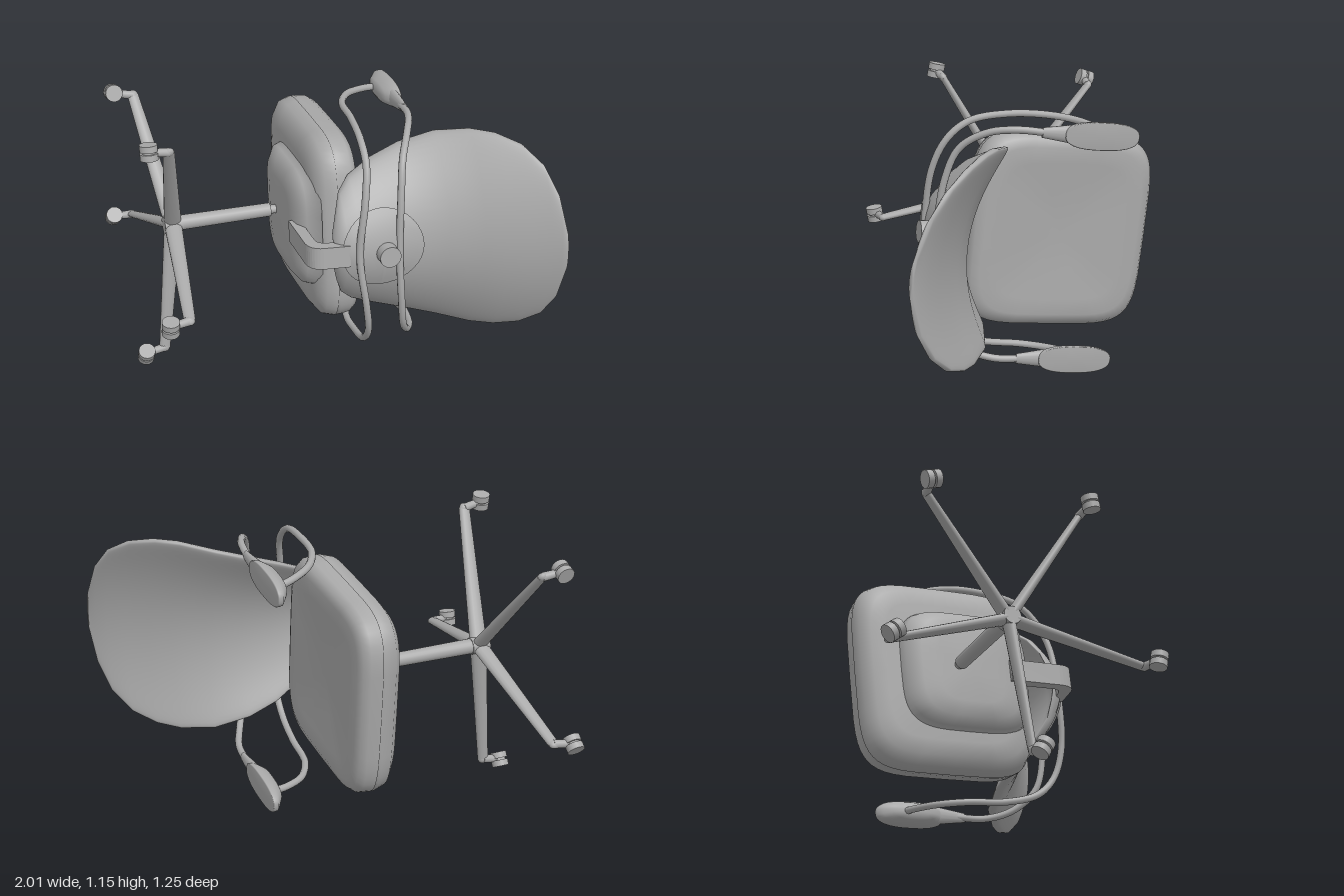
import * as THREE from 'three';

const grey = new THREE.MeshStandardMaterial({ color: 0xaaaaaa });
grey.name = 'grey';
grey.side = THREE.DoubleSide;

const V = (x, y, z) => new THREE.Vector3(x, y, z);

function add(parent, name, geometry, x = 0, y = 0, z = 0) {
  const mesh = new THREE.Mesh(geometry, grey);
  mesh.name = name;
  mesh.position.set(x, y, z);
  parent.add(mesh);
  return mesh;
}

// Skin over stacked loops, from bottom to top, with closed ends
function loft(loops) {
  const n = loops[0].length, pos = [], idx = [];
  loops.forEach(l => l.forEach(p => pos.push(p.x, p.y, p.z)));
  for (let i = 0; i < loops.length - 1; i++) {
    for (let j = 0; j < n; j++) {
      const a = i * n + j, b = i * n + (j + 1) % n;
      idx.push(a, a + n, b, b, a + n, b + n);
    }
  }
  [0, loops.length - 1].forEach((row, end) => {
    const c = V(0, 0, 0);
    loops[row].forEach(p => c.addScaledVector(p, 1 / n));
    const k = pos.length / 3;
    pos.push(c.x, c.y, c.z);
    for (let j = 0; j < n; j++) {
      const a = row * n + j, b = row * n + (j + 1) % n;
      if (end) idx.push(k, b, a); else idx.push(k, a, b);
    }
  });
  const g = new THREE.BufferGeometry();
  g.setAttribute('position', new THREE.Float32BufferAttribute(pos, 3));
  g.setIndex(idx);
  g.computeVertexNormals();
  return g;
}

const spow = (v, e) => Math.sign(v) * Math.pow(Math.abs(v), e);

// Rounded slab from rows of [y, half width, half depth, centre z]; a lower e is squarer
function cushion(rows, e) {
  return loft(rows.map(([y, w, d, zc]) => Array.from({ length: 48 }, (_, i) => {
    const a = i / 48 * Math.PI * 2;
    return V(w * spow(Math.cos(a), e), y, zc + d * spow(Math.sin(a), e));
  })));
}

// Straight tapered rod between two points
function rod(parent, name, a, b, ra, rb) {
  const d = b.clone().sub(a);
  const m = add(parent, name, new THREE.CylinderGeometry(rb, ra, d.length(), 14));
  m.position.copy(a).addScaledVector(d, 0.5);
  m.quaternion.setFromUnitVectors(V(0, 1, 0), d.normalize());
  return m;
}

// Backrest rows: [y, centre z, half width, forward wrap, thickness]
const backRows = [
  [0.525, -0.51, 0.07, 0.02, 0.025], [0.545, -0.53, 0.15, 0.05, 0.04], [0.57, -0.54, 0.215, 0.09, 0.055],
  [0.62, -0.545, 0.265, 0.12, 0.07], [0.72, -0.545, 0.315, 0.14, 0.085], [0.84, -0.545, 0.36, 0.145, 0.09],
  [0.98, -0.575, 0.4, 0.145, 0.09], [1.1, -0.645, 0.42, 0.14, 0.09], [1.18, -0.69, 0.415, 0.128, 0.08],
  [1.26, -0.737, 0.385, 0.108, 0.065], [1.32, -0.775, 0.32, 0.072, 0.05], [1.355, -0.8, 0.22, 0.035, 0.035],
  [1.375, -0.813, 0.08, 0.008, 0.02],
];

function backAt(x, y) {
  let i = 0;
  while (i < backRows.length - 2 && backRows[i + 1][0] < y) i++;
  const [p, q] = [backRows[i], backRows[i + 1]];
  const t = (y - p[0]) / (q[0] - p[0]);
  const [, z, w, wrap] = p.map((v, k) => v + (q[k] - v) * t);
  return z + wrap * (x / w) ** 2;
}

function buildBase(chair) {
  const base = new THREE.Group();
  base.name = 'base';
  base.position.set(0, -0.008, -0.012);
  chair.add(base);
  add(base, 'hub', new THREE.CylinderGeometry(0.034, 0.036, 0.075, 20));
  add(base, 'column', new THREE.CylinderGeometry(0.028, 0.031, 0.4, 20), 0, 0.208, 0);
  add(base, 'columnPiston', new THREE.CylinderGeometry(0.018, 0.018, 0.06, 16), 0, 0.43, 0);
  for (let i = 0; i < 5; i++) {
    const leg = new THREE.Group();
    leg.name = 'leg';
    leg.rotation.y = -(36 + 72 * i) * Math.PI / 180;
    base.add(leg);
    const tip = V(0.555, -0.066, 0);
    // Legs are taller than wide
    rod(leg, 'legArm', V(0, 0, 0), tip, 0.036, 0.023).scale.z = 0.62;
    add(leg, 'legElbow', new THREE.SphereGeometry(0.021, 14, 10), tip.x, tip.y, 0).scale.z = 0.75;
    rod(leg, 'casterStem', tip, V(0.57, -0.135, 0), 0.018, 0.015);
    // Twin-wheel caster, each swivelled differently
    const caster = new THREE.Group();
    caster.name = 'caster';
    caster.position.set(0.575, -0.145, 0);
    caster.rotation.y = 0.9 * i + 0.4;
    leg.add(caster);
    for (const s of [-1, 1]) {
      add(caster, 'wheel', new THREE.CylinderGeometry(0.035, 0.035, 0.026, 18), 0, 0, s * 0.017).rotation.x = Math.PI / 2;
    }
    add(caster, 'axle', new THREE.CylinderGeometry(0.026, 0.026, 0.03, 12)).rotation.x = Math.PI / 2;
  }
}

function buildSeat(chair) {
  const seat = cushion([
    [0.492, 0.29, 0.27, 0], [0.505, 0.35, 0.325, 0], [0.535, 0.388, 0.362, 0],
    [0.58, 0.4, 0.374, 0], [0.586, 0.391, 0.364, 0], [0.592, 0.4, 0.374, 0],
    [0.64, 0.395, 0.37, 0], [0.665, 0.378, 0.354, 0], [0.677, 0.345, 0.322, 0],
    [0.674, 0.28, 0.26, 0], [0.663, 0.15, 0.13, 0],
  ], 0.4);
  add(chair, 'seatCushion', seat, -0.006, 0, -0.006);
  add(chair, 'seatPan', cushion([
    [0.425, 0.15, 0.14, -0.07], [0.435, 0.21, 0.21, -0.07], [0.465, 0.245, 0.265, -0.07], [0.52, 0.26, 0.29, -0.07],
  ], 0.5));
  // L-shaped bar joining seat pan and backrest
  const s = new THREE.Shape();
  s.moveTo(0.24, 0.415);
  s.lineTo(0.46, 0.415);
  s.quadraticCurveTo(0.525, 0.417, 0.535, 0.47);
  s.lineTo(0.55, 0.575);
  s.lineTo(0.51, 0.575);
  s.lineTo(0.49, 0.5);
  s.quadraticCurveTo(0.483, 0.462, 0.45, 0.46);
  s.lineTo(0.24, 0.46);
  const g = new THREE.ExtrudeGeometry(s, { depth: 0.09, bevelEnabled: false, curveSegments: 8 });
  g.translate(0, 0, -0.045);
  g.rotateY(Math.PI / 2);
  add(chair, 'backBar', g);
}

function buildBack(chair) {
  const back = new THREE.Group();
  back.name = 'back';
  back.position.x = 0.008;
  chair.add(back);
  add(back, 'backrest', loft(backRows.map(([y, z, w, wrap, t]) => Array.from({ length: 56 }, (_, i) => {
    const a = i / 56 * Math.PI * 2, u = Math.cos(a), s = Math.sin(a);
    return V(w * u, y, z + wrap * u * u + t / 2 + t / 2 * spow(s, 0.5));
  }))));
  // Round mounting plate that follows the curved shell
  const g = new THREE.RingGeometry(0.001, 0.165, 36, 6);
  g.rotateY(Math.PI);
  const p = g.attributes.position;
  for (let i = 0; i < p.count; i++) {
    const x = p.getX(i), y = p.getY(i) + 0.71;
    const r = Math.hypot(x, y - 0.71) / 0.165;
    p.setXYZ(i, x, y, backAt(x, y) - 0.008 - 0.008 * (1 - r * r));
  }
  g.computeVertexNormals();
  add(back, 'mountingPlate', g);
  add(back, 'backKnob', new THREE.CylinderGeometry(0.043, 0.043, 0.07, 24), -0.01, 0.72, -0.572).rotation.x = Math.PI / 2;
}

function buildArms(chair) {
  // Each tube runs from one armrest behind the back to the other
  const tubes = {
    lowerArmTube: [[0, 0.61, -0.556], [0.225, 0.635, -0.556], [0.355, 0.655, -0.513], [0.43, 0.66, -0.432],
      [0.466, 0.67, -0.288], [0.472, 0.682, -0.131], [0.468, 0.742, -0.022], [0.457, 0.837, 0.04], [0.45, 0.89, 0.055]],
    upperArmTube: [[0, 0.775, -0.552], [0.227, 0.785, -0.544], [0.355, 0.805, -0.505], [0.43, 0.855, -0.415],
      [0.455, 0.898, -0.31], [0.452, 0.912, -0.193], [0.45, 0.912, -0.12]],
  };
  for (const [name, pts] of Object.entries(tubes)) {
    const right = pts.map(q => V(...q));
    const left = pts.slice(1).reverse().map(([x, y, z]) => V(-x, y, z));
    const path = new THREE.CatmullRomCurve3([...left, ...right], false, 'centripetal');
    add(chair, name, new THREE.TubeGeometry(path, 110, 0.0145, 10));
  }
  const pad = cushion([
    [0.87, 0.02, 0.06, 0.01], [0.88, 0.036, 0.1, 0.012], [0.9, 0.046, 0.13, 0.015],
    [0.914, 0.053, 0.148, 0.018], [0.932, 0.055, 0.15, 0.018], [0.936, 0.052, 0.146, 0.018],
  ], 0.78);
  for (const s of [-1, 1]) {
    const arm = new THREE.Group();
    arm.name = 'armrest';
    chair.add(arm);
    add(arm, 'armPad', pad, s * 0.45, 0, 0);
    rod(arm, 'armPadNeck', V(s * 0.452, 0.914, -0.22), V(s * 0.45, 0.911, -0.06), 0.02, 0.042).scale.z = 0.58;
  }
}

export function createModel() {
  const model = new THREE.Group();
  model.name = 'officeChair';
  const chair = new THREE.Group();
  chair.name = 'tippedChair';
  model.add(chair);
  buildBase(chair);
  buildSeat(chair);
  buildBack(chair);
  buildArms(chair);
  // The whole chair lies tipped over on its side
  const up = V(0.89, -0.01, -0.455).normalize();
  const side = V(-0.045, 0.994, -0.1);
  side.addScaledVector(up, -side.dot(up)).normalize();
  const forward = side.clone().cross(up);
  chair.applyMatrix4(new THREE.Matrix4().makeBasis(side, up, forward).setPosition(-0.59, 0.613, 0));
  return model;
}
